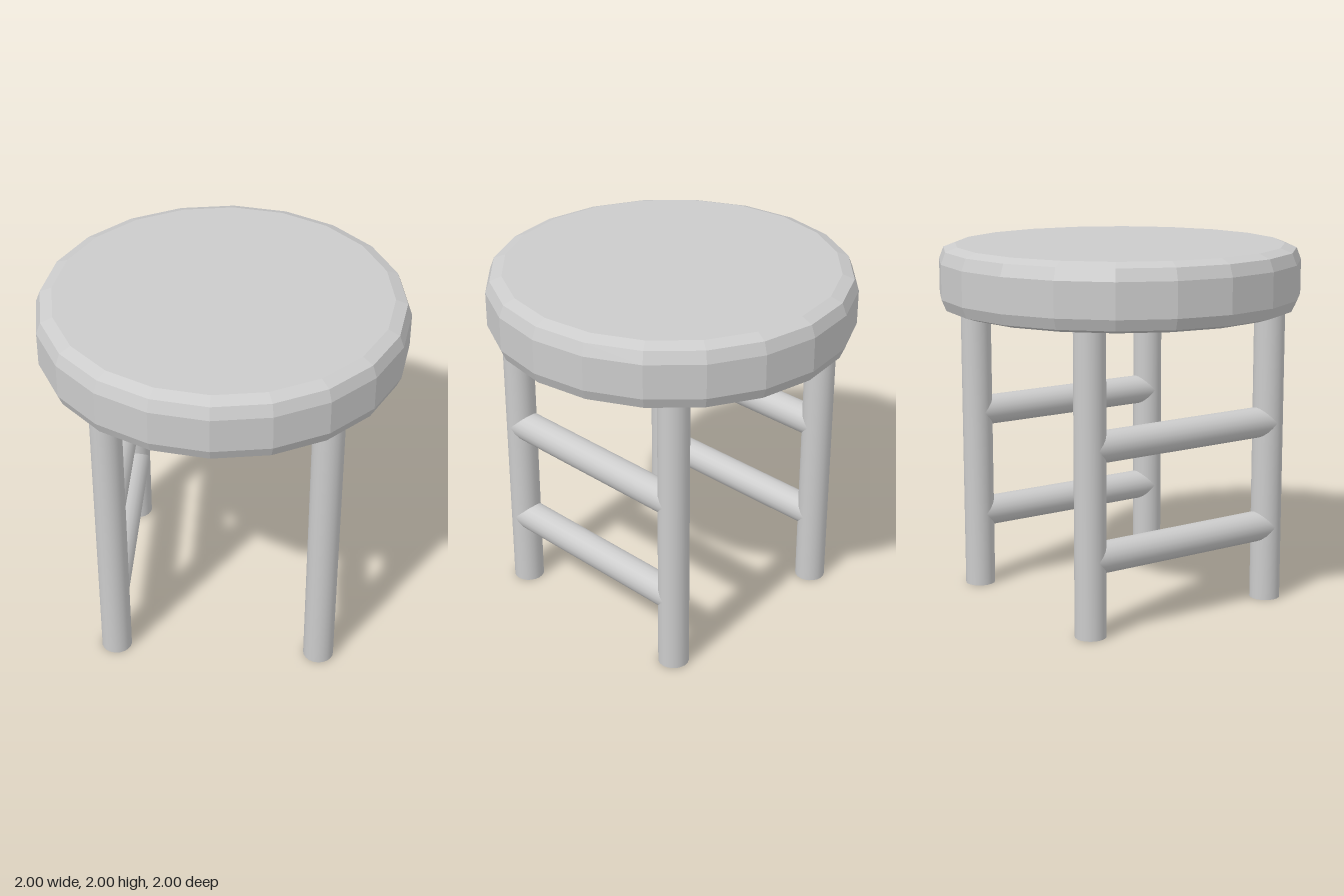
import * as THREE from 'three';

export function createModel() {
  const stool = new THREE.Group();
  stool.name = 'stool';
  const smooth = new THREE.MeshStandardMaterial({ color: 0xcccccc });
  const faceted = new THREE.MeshStandardMaterial({ color: 0xcccccc, flatShading: true });
  const up = new THREE.Vector3(0, 1, 0);
  const RADIUS = 0.085;

  // Round bar between two points, used for legs and rungs
  function bar(name, a, b) {
    const dir = b.clone().sub(a);
    const mesh = new THREE.Mesh(new THREE.CylinderGeometry(RADIUS, RADIUS, dir.length(), 20), smooth);
    mesh.position.copy(a).add(b).multiplyScalar(0.5);
    mesh.quaternion.setFromUnitVectors(up, dir.normalize());
    mesh.name = name;
    stool.add(mesh);
  }

  // Thick round seat with bevelled rims
  const profile = [
    [0, 1.64], [0.91, 1.64], [0.975, 1.66], [1, 1.72],
    [1, 1.91], [0.975, 1.975], [0.91, 2], [0, 2],
  ].map(([r, y]) => new THREE.Vector2(r, y));
  const seat = new THREE.Mesh(new THREE.LatheGeometry(profile, 20), faceted);
  seat.rotation.y = -0.01;
  seat.name = 'seat';
  stool.add(seat);

  // Two leg pairs, each joined by a lower and an upper rung
  const pairs = [
    { name: 'front', legs: [[-0.16, 0.83], [0.815, 0.14]] },
    { name: 'back', legs: [[0.145, -0.805], [-0.825, -0.11]] },
  ];
  for (const { name, legs } of pairs) {
    const [p, q] = legs;
    for (const [i, [x, z]] of legs.entries()) {
      bar(`${name}Leg${i + 1}`, new THREE.Vector3(x, 0, z), new THREE.Vector3(x, 1.66, z));
    }
    for (const [level, y] of [['Lower', 0.423], ['Upper', 1.02]]) {
      bar(`${name}${level}Rung`, new THREE.Vector3(p[0], y, p[1]), new THREE.Vector3(q[0], y, q[1]));
    }
  }
  return stool;
}
